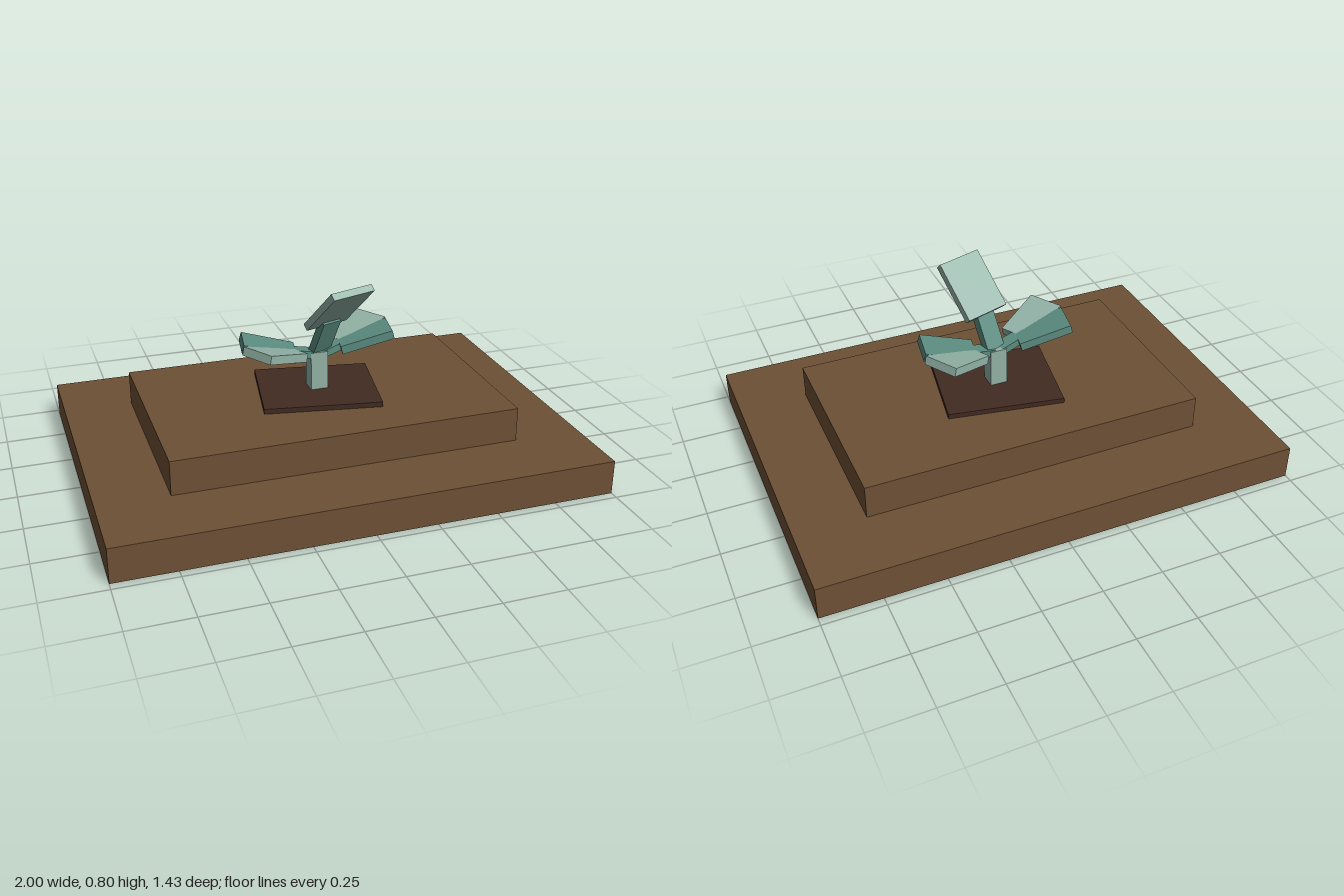
import * as THREE from 'three';

const flat = (name, color) => {
  const m = new THREE.MeshStandardMaterial({ color });
  m.name = name;
  return m;
};

export function createModel() {
  const soil = flat('soilBrown', 0x6e5036);
  const darkSoil = flat('darkSoil', 0x412b22);
  const pale = flat('paleGreen', 0x92b2a6);
  const teal = flat('tealGreen', 0x5c8d81);
  const model = new THREE.Group();
  model.name = 'sproutOnSoil';

  // Box by size and centre; yaw turns it about y, pitch lifts its +x end (degrees)
  const slab = (name, mat, size, pos, yaw = 0, pitch = 0, parent = model) => {
    const mesh = new THREE.Mesh(new THREE.BoxGeometry(...size), mat);
    mesh.name = name;
    mesh.position.set(...pos);
    mesh.rotation.set(0, THREE.MathUtils.degToRad(yaw), THREE.MathUtils.degToRad(pitch), 'YXZ');
    parent.add(mesh);
    return mesh;
  };

  // Stepped ground
  slab('lowerSoil', soil, [2, 0.143, 1.43], [0, 0.0715, 0]);
  slab('upperSoil', soil, [1.428, 0.143, 0.855], [0, 0.2145, 0]);
  slab('darkSoilPatch', darkSoil, [0.483, 0.021, 0.4], [0, 0.2965, 0], -10);

  // Stem
  slab('stem', pale, [0.072, 0.163, 0.072], [0, 0.3885, 0]);

  // Two side leaves, each the other turned half a circle
  for (const [name, turn] of [['leftLeaf', 0], ['rightLeaf', Math.PI]]) {
    const leaf = new THREE.Group();
    leaf.name = name;
    leaf.rotation.y = turn;
    slab('leafStalk', teal, [0.15, 0.03, 0.06], [0.07, 0.469, -0.008], 10, 14, leaf);
    slab('tealHalf', teal, [0.222, 0.036, 0.146], [0.208, 0.503, 0.002], -10, 15, leaf);
    slab('paleHalf', pale, [0.222, 0.036, 0.15], [0.199, 0.504, -0.077], 31, 15, leaf);
    model.add(leaf);
  }

  // Upright leaf leaning to the front
  slab('frontLeafStalk', teal, [0.18, 0.036, 0.085], [0.02, 0.543, 0.038], -72, 64);
  slab('frontLeaf', pale, [0.255, 0.03, 0.197], [0.047, 0.695, 0.134], -72, 45);
  return model;
}
